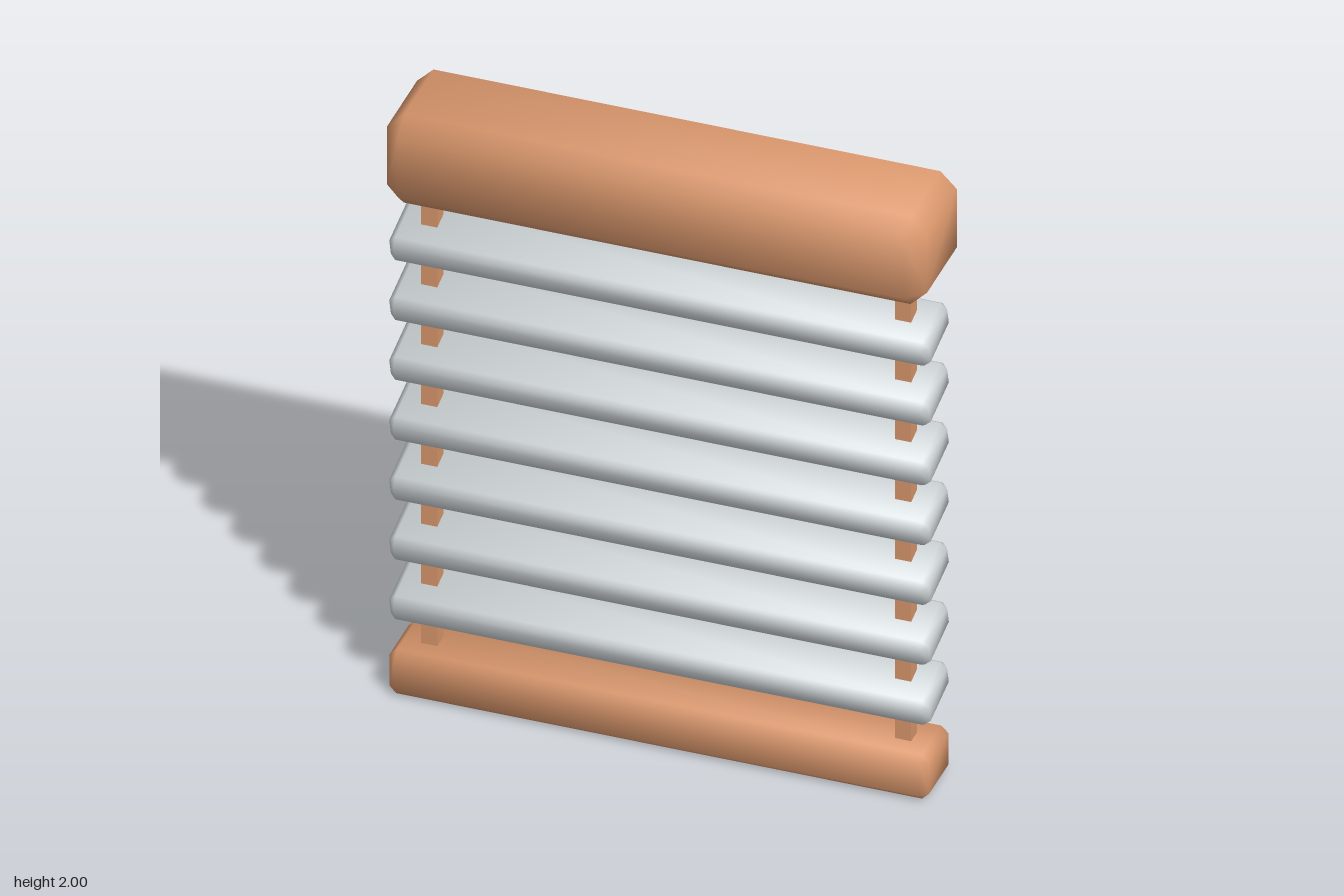
import * as THREE from 'three';
import { ConvexGeometry } from 'three/addons/geometries/ConvexGeometry.js';
import { toCreasedNormals } from 'three/addons/utils/BufferGeometryUtils.js';

// Box with chamfered edges; flatBack leaves the rear face square to the sides
function chamferedBox(w, h, d, c, flatBack = false) {
  const points = [];
  const x = w / 2, y = h / 2, z = d / 2;
  for (const sx of [-1, 1]) for (const sy of [-1, 1]) for (const sz of [-1, 1]) {
    const sharp = flatBack && sz < 0;
    const zs = sz * (sharp ? z : z - c);
    points.push(new THREE.Vector3(sx * x, sy * (y - c), zs));
    points.push(new THREE.Vector3(sx * (x - c), sy * y, zs));
    if (!sharp) points.push(new THREE.Vector3(sx * (x - c), sy * (y - c), sz * z));
  }
  return toCreasedNormals(new ConvexGeometry(points), 1.1);
}

export function createModel() {
  const model = new THREE.Group();
  model.name = 'windowBlind';
  const wood = new THREE.MeshStandardMaterial({ color: 0xda976c });
  wood.name = 'warmWood';
  const grey = new THREE.MeshStandardMaterial({ color: 0xcdd3d6 });
  grey.name = 'paleGrey';

  function add(name, geometry, material, x, y, z) {
    const mesh = new THREE.Mesh(geometry, material);
    mesh.name = name;
    mesh.position.set(x, y, z);
    model.add(mesh);
    return mesh;
  }

  // Rails at top and bottom
  add('headRail', chamferedBox(1.64, 0.3, 0.3, 0.05, true), wood, 0, 1.85, 0);
  add('bottomRail', chamferedBox(1.64, 0.15, 0.205, 0.022), wood, 0, 0.075, 0);

  // Support tapes running through the slats
  const tape = new THREE.BoxGeometry(0.05, 1.6, 0.05);
  add('leftTape', tape, wood, 0.72, 0.925, 0);
  add('rightTape', tape, wood, -0.72, 0.925, 0);

  // Tilted slats, front edge lower
  const slat = chamferedBox(1.64, 0.096, 0.197, 0.02);
  for (let i = 0; i < 7; i++) {
    add('slat' + (i + 1), slat, grey, 0, 0.311 + i * 0.205, 0).rotation.x = THREE.MathUtils.degToRad(15);
  }
  return model;
}
